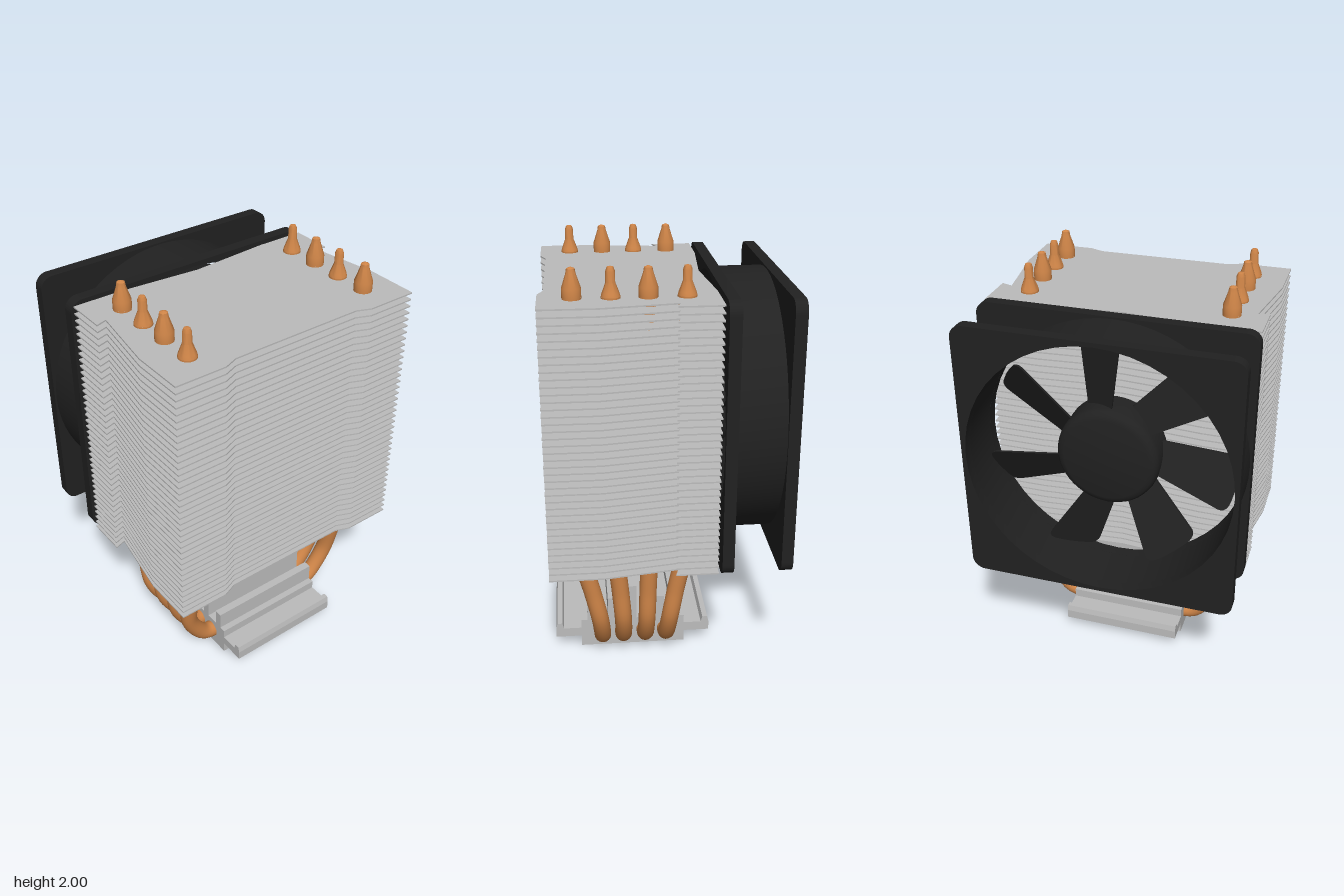
import * as THREE from 'three';
import { toCreasedNormals } from 'three/addons/utils/BufferGeometryUtils.js';

const aluminium = new THREE.MeshStandardMaterial({ color: 0xbcbcbc });
aluminium.name = 'aluminium';
const copper = new THREE.MeshStandardMaterial({ color: 0xcf8548 });
copper.name = 'copper';
const black = new THREE.MeshStandardMaterial({ color: 0x212121 });
black.name = 'black plastic';

const CX = -0.005; // centre line of fins, pipes and base

function add(parent, name, geometry, material) {
  const mesh = new THREE.Mesh(geometry, material);
  mesh.name = name;
  parent.add(mesh);
  return mesh;
}

function polygon(points) {
  return new THREE.Shape(points.map(([x, y]) => new THREE.Vector2(x, y)));
}

// Lathe around y from [radius, height] points listed bottom to top
function lathe(points, segments) {
  const g = new THREE.LatheGeometry(points.map(([r, h]) => new THREE.Vector2(r, h)), segments);
  return toCreasedNormals(g, 0.6);
}

function createFins() {
  const group = new THREE.Group();
  group.name = 'finStack';
  const half = [[0, -0.19], [0.395, -0.222], [0.637, -0.222], [0.637, -0.023], [0.584, -0.04],
    [0.637, 0.305], [0.637, 0.56], [0.393, 0.56], [0.325, 0.533]];
  const mirrored = half.slice(1).reverse().map(([x, z]) => [-x, z]);
  const geometry = new THREE.ExtrudeGeometry(polygon([...half, ...mirrored]), { depth: 0.007, bevelEnabled: false });
  geometry.rotateX(Math.PI / 2);
  const count = 39;
  for (let i = 0; i < count; i++) {
    const fin = add(group, 'fin', geometry, aluminium);
    fin.position.set(CX, 0.593 + i * (1.27 / (count - 1)), 0);
  }
  return group;
}

function createPipes() {
  const group = new THREE.Group();
  group.name = 'heatPipes';
  const R = 0.042, END = 1.87;
  const fatTip = lathe([[R, 0], [R, 0.04], [0.022, 0.1], [0.018, 0.122], [0, 0.13]], 24);
  const thinTip = lathe([[R, 0], [0.038, 0.015], [0.021, 0.06], [0.02, 0.11], [0.014, 0.126], [0, 0.13]], 24);
  // [z in the fins, z in the base]
  [[0.412, 0.315], [0.247, 0.21], [0.087, 0.1], [-0.08, -0.005]].forEach(([top, base], i) => {
    // One leg as [x, y, share of the way from base z to fin z]
    const leg = [[0.476, END, 1], [0.476, 1.2, 1], [0.476, 0.68, 1], [0.474, 0.6, 0.95], [0.463, 0.42, 0.5],
      [0.452, 0.26, 0.15], [0.4, 0.15, 0.03], [0.35, 0.095, 0], [0.29, 0.08, 0]];
    const point = (side) => ([x, y, t]) => new THREE.Vector3(CX + side * x, y, base + (top - base) * t);
    const path = new THREE.CatmullRomCurve3([...leg.map(point(-1)), ...leg.slice().reverse().map(point(1))]);
    add(group, 'heatPipe', new THREE.TubeGeometry(path, 160, R, 20, false), copper);
    for (const side of [-1, 1]) {
      const fat = (i % 2 === 0) === (side === 1);
      const tip = add(group, 'pipeTip', fat ? fatTip : thinTip, copper);
      tip.position.set(CX + side * 0.476, END, top);
    }
  });
  return group;
}

function createBase() {
  const group = new THREE.Group();
  group.name = 'base';
  const length = 0.6, mid = 0.16;
  // Cross-section: block with a hooked ledge on both sides
  const half = [[0.262, 0], [0.262, 0.058], [0.39, 0.058], [0.39, 0.105], [0.383, 0.135],
    [0.358, 0.135], [0.35, 0.105], [0.262, 0.105], [0.262, 0.15]];
  const section = polygon([...half, ...half.slice().reverse().map(([z, y]) => [-z, y])]);
  const block = new THREE.ExtrudeGeometry(section, { depth: length, bevelEnabled: false });
  block.rotateY(Math.PI / 2);
  add(group, 'contactBlock', block, aluminium).position.set(CX - length / 2, 0, mid);
  // Cooling ribs, [z, top height]
  for (const [z, h] of [[0.37, 0.24], [0.265, 0.27], [0.16, 0.335], [0.02, 0.27], [-0.06, 0.2]]) {
    const rib = add(group, 'rib', new THREE.BoxGeometry(length, h - 0.14, 0.04), aluminium);
    rib.position.set(CX, (h + 0.14) / 2, z);
  }
  return group;
}

function createFan() {
  const group = new THREE.Group();
  group.name = 'fan';
  group.position.set(0, 1.227, 0);

  // Rounded square flanges with a round opening
  const s = 0.65, r = 0.06, q = Math.PI / 2;
  const outline = new THREE.Shape();
  [[1, 1], [-1, 1], [-1, -1], [1, -1]].forEach(([x, y], i) => {
    outline.absarc(x * (s - r), y * (s - r), r, i * q, (i + 1) * q, false);
  });
  const hole = new THREE.Path();
  hole.absarc(0, 0, 0.63, 0, Math.PI * 2, true);
  outline.holes.push(hole);
  const flange = toCreasedNormals(
    new THREE.ExtrudeGeometry(outline, { depth: 0.055, bevelEnabled: false, curveSegments: 24 }), 0.5);
  add(group, 'frontFlange', flange, black).position.z = -0.29;
  add(group, 'backFlange', flange, black).position.z = -0.565;

  // Round duct between the flanges
  const duct = lathe([[0.642, -0.52], [0.642, -0.28], [0.63, -0.28], [0.63, -0.52]], 64);
  duct.rotateX(Math.PI / 2);
  add(group, 'duct', duct, black);

  const hub = lathe([[0, -0.42], [0.205, -0.42], [0.228, -0.413], [0.241, -0.397],
    [0.246, -0.375], [0.246, -0.25], [0, -0.25]], 48);
  hub.rotateX(Math.PI / 2);
  add(group, 'hub', hub, black);

  // Pitched blades, widening to a rounded tip
  const shape = new THREE.Shape();
  shape.moveTo(-0.01, 0.2);
  shape.lineTo(0.12, 0.2);
  shape.lineTo(0.163, 0.54);
  shape.quadraticCurveTo(0.165, 0.58, 0.125, 0.588);
  shape.quadraticCurveTo(0.04, 0.605, -0.025, 0.598);
  shape.quadraticCurveTo(-0.065, 0.59, -0.06, 0.55);
  const blade = new THREE.ExtrudeGeometry(shape, { depth: 0.014, bevelEnabled: false, curveSegments: 6 });
  const p = blade.attributes.position;
  for (let i = 0; i < p.count; i++) {
    p.setZ(i, p.getZ(i) - 0.335 + (p.getX(i) - 0.052) * 0.55);
  }
  blade.computeVertexNormals();
  for (let i = 0; i < 7; i++) {
    add(group, 'blade', blade, black).rotation.z = (i * Math.PI * 2) / 7;
  }
  return group;
}

export function createModel() {
  const model = new THREE.Group();
  model.name = 'towerCooler';
  model.add(createFins(), createPipes(), createBase(), createFan());
  return model;
}
